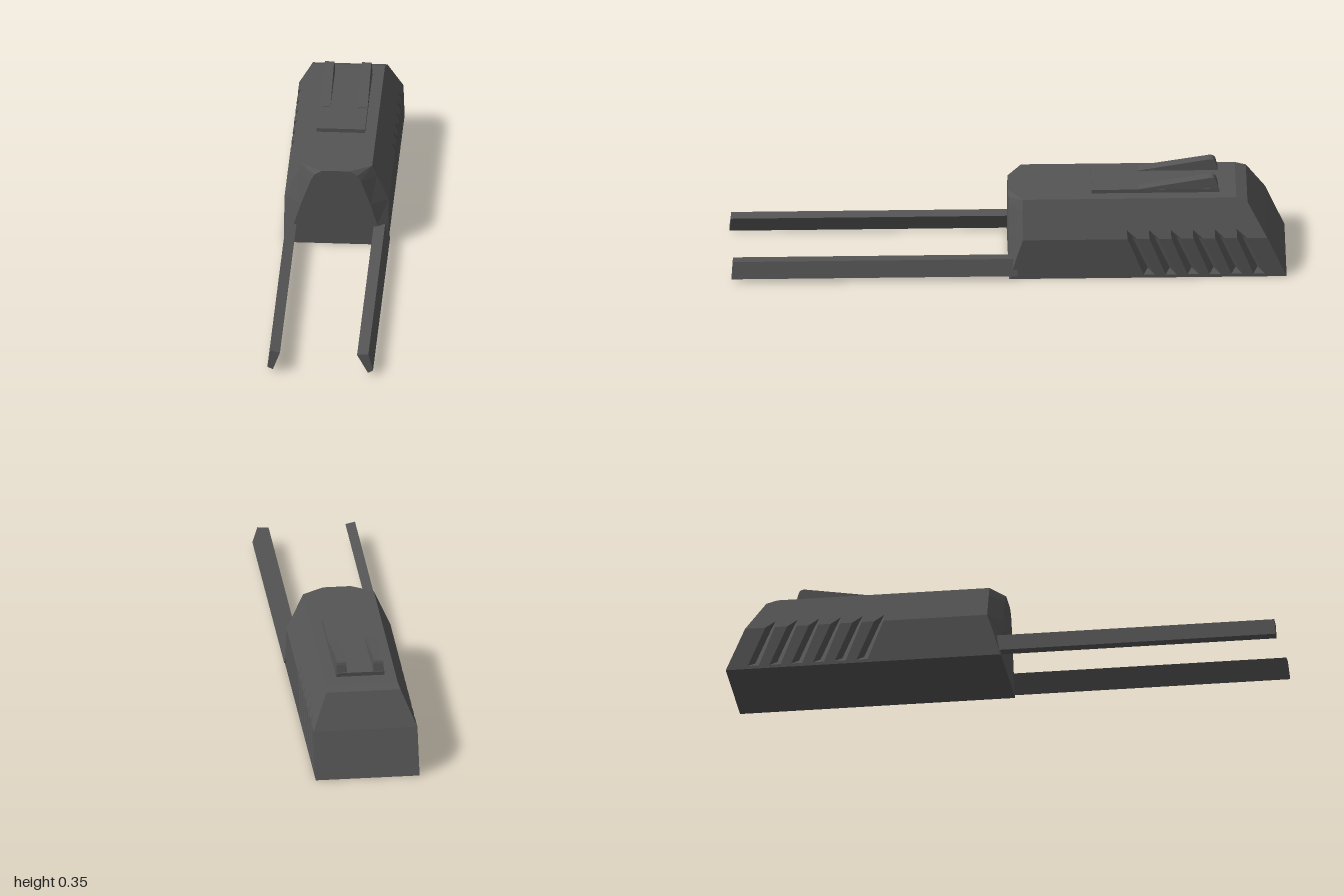
import * as THREE from 'three';

const material = new THREE.MeshStandardMaterial({ color: 0x555555, flatShading: true, side: THREE.DoubleSide });

// flat polygons, each fanned from its first corner
function polygons(faces) {
  const pos = [];
  for (const f of faces)
    for (let i = 1; i < f.length - 1; i++) pos.push(...f[0], ...f[i], ...f[i + 1]);
  const g = new THREE.BufferGeometry();
  g.setAttribute('position', new THREE.Float32BufferAttribute(pos, 3));
  g.computeVertexNormals();
  return g;
}

function add(parent, name, geometry) {
  const mesh = new THREE.Mesh(geometry, material);
  mesh.name = name;
  parent.add(mesh);
  return mesh;
}

// half width of the body at height y: upright below, leaning in above
const sideX = y => (y <= 0.16 ? 0.188 : 0.188 - 0.06 * (y - 0.16) / 0.134);
// point on the side wall, u measured backwards, sunk inwards by depth
const onSide = ([u, y], depth = 0) => [sideX(y) - depth, y, -u];

// flat outline in (u, y) laid onto the side wall
function sidePanel(points) {
  const g = new THREE.ShapeGeometry(new THREE.Shape(points.map(p => new THREE.Vector2(...p))));
  const p = g.attributes.position;
  for (let i = 0; i < p.count; i++) p.setXYZ(i, ...onSide([p.getX(i), p.getY(i)]));
  g.computeVertexNormals();
  return g;
}

// slanted vents along the side
const vents = Array.from({ length: 6 }, (_, i) => {
  const u = 0.425 + i * 0.079;
  return {
    a: [u + 0.002, 0.16], bl: [u + 0.06, 0.012], br: [u + 0.1, 0.012], c: [u + 0.036, 0.16],
    tip: [u, 0.19], mid: [u + 0.02, 0.155], low: [u + 0.075, 0.03]
  };
});

function halfBody() {
  const half = new THREE.Group();
  half.name = 'halfBody';

  // side walls, notched for the vents
  const lower = [[0.005, 0], [1, 0], [0.93, 0.16]];
  [...vents].reverse().forEach(v => lower.push(v.c, v.br, v.bl, v.a));
  lower.push([0.05, 0.16], [0.025, 0.08]);
  const upper = [[0.05, 0.16]];
  vents.forEach(v => upper.push(v.a, v.tip, v.c));
  upper.push([0.93, 0.16], [0.86, 0.28], [0.82, 0.294], [0.05, 0.294]);
  add(half, 'lowerSide', sidePanel(lower));
  add(half, 'upperSide', sidePanel(upper));

  // sunken vent faces
  const ventFaces = vents.flatMap(v => {
    const [a, bl, br, c, tip] = [v.a, v.bl, v.br, v.c, v.tip].map(p => onSide(p));
    const mid = onSide(v.mid, 0.02), low = onSide(v.low, 0.02);
    return [[a, bl, low, mid], [bl, br, low], [br, c, mid, low], [c, tip, mid], [tip, a, mid]];
  });
  add(half, 'sideVents', polygons(ventFaces));

  // front face and the chamfer around it
  const front = [[0.186, 0, 0], [0.15, 0.08, 0], [0.125, 0.16, 0],
    [0.09, 0.255, 0], [0.078, 0.277, 0], [0.05, 0.294, 0]];
  const rim = [[0.005, 0], [0.025, 0.08], [0.05, 0.16], [0.05, 0.255], [0.05, 0.294], [0.05, 0.294]].map(p => onSide(p));
  add(half, 'frontFace', polygons([[[0, 0, 0], ...front, [0, 0.294, 0]]]));
  add(half, 'frontChamfer', polygons(front.slice(1).map((f, i) => [front[i], rim[i], rim[i + 1], f])));

  // roof, sloped rear and floor
  add(half, 'roof', polygons([[[0, 0.294, 0], front[5], rim[5], onSide([0.82, 0.294]), [0, 0.294, -0.82]]]));
  const rear = [[1, 0], [0.93, 0.16], [0.86, 0.28], [0.82, 0.294]].map(p => onSide(p));
  const centre = p => [0, p[1], p[2]];
  add(half, 'rear', polygons(rear.slice(1).map((q, i) => [centre(rear[i]), centre(q), q, rear[i]])));
  add(half, 'floor', polygons([[[0, 0, -1], rear[0], rim[0], front[0], [0, 0, 0]]]));
  return half;
}

// long leaning bar: section corners run counter-clockwise seen from the front
function prong(section) {
  const end = section.map(([x, y]) => [x, y, 1 - 0.1 * y]);
  const root = section.map(([x, y]) => [x, y, -0.03]);
  const sides = end.map((e, i) => {
    const j = (i + 1) % end.length;
    return [e, root[i], root[j], end[j]];
  });
  return polygons([end, [...root].reverse(), ...sides]);
}

// rising sight fin, narrower towards its top
function fin() {
  const s = new THREE.Shape();
  s.moveTo(0.47, 0.3);
  s.lineTo(0.47, 0.309);
  s.lineTo(0.725, 0.351);
  s.quadraticCurveTo(0.745, 0.354, 0.75, 0.335);
  s.lineTo(0.758, 0.3);
  const g = new THREE.ExtrudeGeometry(s, { depth: 0.04, bevelEnabled: false, curveSegments: 4 });
  g.translate(0, 0, -0.02);
  g.rotateY(Math.PI / 2);
  const p = g.attributes.position;
  for (let i = 0; i < p.count; i++) p.setX(i, p.getX(i) * (1 - 3 * (p.getY(i) - 0.3)));
  g.computeVertexNormals();
  return g;
}

export function createModel() {
  const model = new THREE.Group();
  model.name = 'model';

  const body = new THREE.Group();
  body.name = 'body';
  body.position.x = -0.003;
  model.add(body);
  for (const side of [1, -1]) {
    const half = halfBody();
    half.scale.x = side;
    body.add(half);
    add(body, 'sightFin', fin()).position.x = side * 0.067;
  }
  add(body, 'topPlate', new THREE.BoxGeometry(0.174, 0.018, 0.46)).position.set(0, 0.299, -0.53);

  add(model, 'leftProng', prong([[0.173, 0.005], [0.191, 0.015], [0.174, 0.077], [0.133, 0.073]]));
  add(model, 'rightProng', prong([[-0.19, 0.018], [-0.17, 0.009], [-0.145, 0.073], [-0.18, 0.081]]));
  return model;
}
